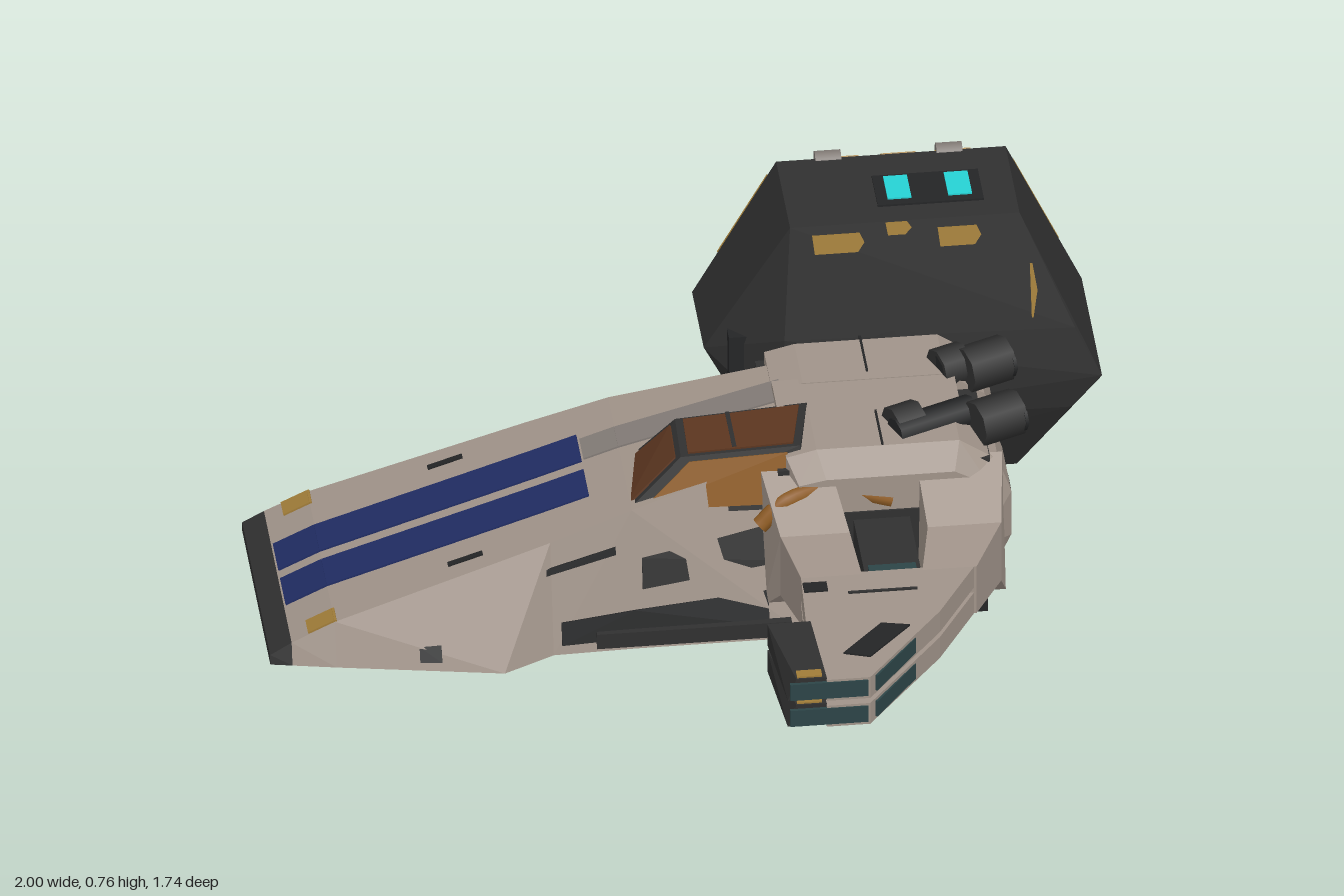
import * as THREE from 'three';
import { ConvexGeometry } from 'three/addons/geometries/ConvexGeometry.js';

const paint = (name, color) => {
  const m = new THREE.MeshStandardMaterial({ color });
  m.name = name;
  return m;
};
const V = (p) => new THREE.Vector3(...p);
const mix = (a, b, s) => a + (b - a) * s;

export function createModel() {
  const root = new THREE.Group();
  root.name = 'spacecraft';
  const hull = paint('hullBeige', 0xa09389);
  const coal = paint('charcoal', 0x303030);
  const black = paint('darkPanel', 0x242526);
  const blue = paint('stripeBlue', 0x202c62);
  const yellow = paint('hazardYellow', 0xa07c38);
  const cyan = paint('glowCyan', 0x26d2d4);
  const glass = paint('amberGlass', 0x5c3620);
  const orange = paint('copper', 0x8c5a22);
  const teal = paint('tealPanel', 0x2c4447);
  const grey = paint('midGrey', 0x827b76);

  const add = (name, geo, mat, pos = [0, 0, 0], rot = [0, 0, 0]) => {
    const m = new THREE.Mesh(geo, mat);
    m.name = name;
    m.position.set(...pos);
    m.rotation.set(...rot);
    root.add(m);
  };
  const solid = (name, mat, pts) => add(name, new ConvexGeometry(pts.map(V)), mat);
  const box = (name, mat, x0, x1, y0, y1, z0, z1) =>
    add(name, new THREE.BoxGeometry(x1 - x0, y1 - y0, z1 - z0), mat, [(x0 + x1) / 2, (y0 + y1) / 2, (z0 + z1) / 2]);
  // thin plate lying on a polygon, half its thickness showing
  const plate = (name, mat, pts, inset = 1) => {
    const p = pts.map(V);
    const c = p.reduce((s, q) => s.add(q), new THREE.Vector3()).divideScalar(p.length);
    p.forEach((q) => q.sub(c).multiplyScalar(inset).add(c));
    const n = p[1].clone().sub(p[0]).cross(p[2].clone().sub(p[0])).normalize().multiplyScalar(0.0045);
    add(name, new ConvexGeometry(p.flatMap((q) => [q.clone().add(n), q.clone().sub(n)])), mat);
  };

  // ---- Wedge hull: x, top height, half width at the bottom, half width at the top
  const CZ = -0.045, YB = 0.155;
  const S = [
    [-1, 0.178, 0.275, 0.27], [-0.95, 0.207, 0.285, 0.268], [-0.85, 0.255, 0.305, 0.265], [-0.47, 0.38, 0.375, 0.25],
    [-0.35, 0.42, 0.315, 0.245], [-0.16, 0.485, 0.31, 0.23], [0.24, 0.592, 0.31, 0.17],
  ];
  const ring = ([x, yt, b, t]) => [[x, YB, CZ - b], [x, YB, CZ + b], [x, yt, CZ - t], [x, yt, CZ + t]];
  for (let i = 0; i < S.length - 1; i++)
    solid(i ? 'hullSection' : 'noseTip', i ? hull : coal, [...ring(S[i]), ...ring(S[i + 1])]);
  const at = (x) => {
    let i = 0;
    while (i < S.length - 2 && x > S[i + 1][0]) i++;
    const k = (x - S[i][0]) / (S[i + 1][0] - S[i][0]);
    return S[i].map((v, j) => mix(v, S[i + 1][j], k));
  };
  const top = (x, z) => [x, at(x)[1], z];
  const side = (x, t, s) => {
    const [, yt, b, h] = at(x);
    return [x, mix(YB, yt, t), CZ + s * mix(b, h, t)];
  };
  const breaks = (a, b) => [a, ...S.map((s) => s[0]).filter((x) => x > a && x < b), b];
  const strip = (name, mat, x0, x1, f) => {
    const xs = breaks(x0, x1);
    for (let i = 0; i < xs.length - 1; i++) plate(name, mat, [f(xs[i], 0), f(xs[i + 1], 0), f(xs[i + 1], 1), f(xs[i], 1)]);
  };
  for (const z of [-0.17, -0.03]) {
    strip('topStripe', blue, -0.945, -0.245, (x, k) => top(x, z + k * 0.105));
    strip('bellyStripe', blue, -0.94, 0.42, (x, k) => [x, YB, z + k * 0.105]);
  }
  strip('roofPanel', grey, -0.24, 0.22, (x, k) => top(x, -0.15 + k * 0.08));
  for (const s of [1, -1]) {
    const big = s > 0 ? 1 : 0.45;
    strip('noseMark', yellow, -0.91, -0.845, (x, k) => top(x, CZ + s * (0.215 + k * 0.05)));
    strip('lowerSidePanel', black, -0.33, 0.15, (x, k) => side(x, 0.08 + k * 0.2 * big, s));
    strip('upperSidePanel', coal, -0.14, 0.2, (x, k) => side(x, 0.42 + k * 0.22 * big, s));
    strip('sidePatch', black, -0.66, -0.61, (x, k) => side(x, 0.1 + k * 0.2, s));
    strip('sideSeam', black, -0.4, -0.2, (x, k) => side(x, 0.72 + k * 0.06, s));
    strip('roofSlot', black, -0.58, -0.5, (x, k) => top(x, CZ + s * (0.19 + k * 0.014)));
    box('sideSkid', coal, -0.25, 0.2, 0.165, 0.205, s > 0 ? 0.22 : -0.325, s > 0 ? 0.272 : -0.275);
    box('bellyHatch', coal, -0.3, -0.14, 0.15, 0.16, CZ + s * 0.2 - 0.04, CZ + s * 0.2 + 0.04);
  }
  strip('sideMark', yellow, -0.15, -0.1, (x, k) => side(x, 0.2 + k * 0.1, -1));
  box('bellySpine', black, -0.45, 0.2, 0.149, 0.16, -0.06, -0.035);

  // ---- Offset canopy with framed panes
  const cb = [[-0.18, 0.46, 0.17], [-0.15, 0.46, -0.05], [0.28, 0.46, -0.055], [0.25, 0.46, 0.185]];
  const ct = [[-0.04, 0.586, 0.13], [-0.035, 0.586, -0.025], [0.27, 0.603, -0.03], [0.235, 0.603, 0.14]];
  solid('canopyFrame', coal, [...cb, ...ct]);
  plate('canopyTopGlass', glass, ct, 0.88);
  plate('canopyFrontGlass', glass, [cb[0], cb[1], ct[1], ct[0]], 0.84);
  plate('canopySideGlass', orange, [cb[0], ct[0], ct[3], cb[3]], 0.82);
  plate('canopyBar', coal, [[0.08, 0.595, -0.02], [0.09, 0.596, -0.02], [0.09, 0.596, 0.12], [0.08, 0.595, 0.12]]);

  // ---- Rear body: two armoured halves around a dark spine
  box('rearCore', coal, 0.18, 0.67, 0.18, 0.555, -0.28, 0.17);
  box('bellyPlate', hull, 0.2, 0.56, YB, 0.235, -0.3, 0.19);
  box('rearBase', black, 0.56, 0.66, YB, 0.22, -0.32, 0.21);
  box('sternPlinth', hull, 0.13, 0.5, 0.157, 0.185, 0.05, 0.235);
  const prof = [[0.2, 0.585], [0.27, 0.602], [0.6, 0.602], [0.69, 0.54], [0.72, 0.45], [0.72, 0.33], [0.67, 0.22], [0.2, 0.23]];
  for (const [z0, z1, o] of [[-0.02, 0.2, 1], [-0.11, -0.31, -1]]) {
    solid('rearArmour', hull, [
      ...prof.map(([x, y]) => [x, y, z0]), ...prof.map(([x, y]) => [x, y, z1 - o * 0.04]),
      ...prof.map(([x, y]) => [0.45 + (x - 0.45) * 0.9, 0.39 + (y - 0.39) * 0.72, z1]),
    ]);
    const zc = (z0 + z1) / 2;
    box('sternSlot', black, 0.715, 0.724, 0.34, 0.43, zc - 0.03, zc + 0.03);
    plate('sternNotch', coal, [[0.695, 0.276, zc - 0.06], [0.695, 0.276, zc + 0.06], [0.676, 0.234, zc + 0.06], [0.676, 0.234, zc - 0.06]]);
    plate('flankPanel', coal, [[0.3, 0.3, z1], [0.58, 0.3, z1], [0.62, 0.36, z1], [0.56, 0.45, z1], [0.3, 0.45, z1]]);
    box('roofSeam', black, 0.42, 0.425, 0.597, 0.606, zc - 0.07, zc + 0.07);
    // paired thrusters
    const tz = o > 0 ? 0.07 : -0.15, x0 = o > 0 ? 0.45 : 0.58;
    const barrel = (name, r, a, b, mat) =>
      add(name, new THREE.CylinderGeometry(r, r, b - a, 8), mat, [(a + b) / 2, 0.595, tz], [0, Math.PI / 8, Math.PI / 2]);
    barrel('thruster', 0.055, 0.64, 0.75, coal);
    barrel('thrusterNeck', 0.038, x0, 0.65, black);
    barrel('thrusterCollar', 0.05, x0, x0 + 0.07, coal);
    barrel('thrusterNozzle', 0.035, 0.748, 0.756, black);
  }
  box('roofBridge', hull, 0.2, 0.62, 0.5, 0.6, -0.13, 0);
  for (let i = 0; i < 7; i++) box('spineRib', black, 0.66, 0.7, 0.23 + i * 0.044, 0.255 + i * 0.044, -0.1, -0.03);

  // ---- Side arm on the left: two struts and a double blade
  const strut = (a0, a1, b0, b1, c0, c1) => {
    const elbow = [b0, b1].flatMap((x) => [[x, 0.3, 0.3], [x, 0.462, 0.3]]);
    solid('armShoulder', hull, [...elbow, ...[a0, a1].flatMap((x) => [[x, 0.22, 0.15], [x, 0.555, 0.15], [x, 0.22, 0.22]])]);
    solid('armStrut', hull, [...elbow, ...[c0, c1].flatMap((x) => [[x, 0.318, 0.45], [x, 0.448, 0.45]])]);
  };
  strut(0.14, 0.3, 0.17, 0.33, 0.2, 0.34);
  strut(0.5, 0.7, 0.51, 0.68, 0.48, 0.605);
  box('armActuator', coal, 0.35, 0.48, 0.34, 0.43, 0.18, 0.45);
  box('armActuatorBand', teal, 0.36, 0.47, 0.335, 0.437, 0.4, 0.43);
  const outline = [[0.2, 0.44], [0.605, 0.44], [0.5, 0.62], [0.31, 0.865], [0.21, 0.865], [0.19, 0.62]];
  const blade = new THREE.Shape(outline.map(([x, z]) => new THREE.Vector2(x, z)));
  for (const y of [0.318, 0.39]) {
    add('armBlade', new THREE.ExtrudeGeometry(blade, { depth: 0.058, bevelEnabled: false }), hull, [0, y + 0.058, 0], [Math.PI / 2, 0, 0]);
    solid('bladePod', coal, [[0.1, y + 0.004, 0.63], [0.2, y + 0.004, 0.63], [0.12, y + 0.004, 0.86], [0.21, y + 0.004, 0.86],
      [0.1, y + 0.062, 0.63], [0.2, y + 0.062, 0.63], [0.14, y + 0.062, 0.86], [0.21, y + 0.062, 0.86]]);
    box('bladeTip', teal, 0.125, 0.305, y + 0.008, y + 0.052, 0.859, 0.868);
    plate('bladeEdge', teal, [[0.325, y + 0.008, 0.847], [0.43, y + 0.008, 0.706], [0.43, y + 0.05, 0.706], [0.325, y + 0.05, 0.847]]);
    box('bladeMark', yellow, 0.142, 0.2, y + 0.058, y + 0.066, 0.83, 0.856);
  }
  box('bladeCore', black, 0.23, 0.45, 0.37, 0.395, 0.46, 0.64);
  box('bladeCoreTip', black, 0.17, 0.29, 0.36, 0.4, 0.62, 0.84);
  for (const y of [0.448, 0.318]) {
    plate('bladePanel', black, [[0.26, y, 0.765], [0.36, y, 0.655], [0.425, y, 0.67], [0.32, y, 0.785]]);
    plate('bladeSlot', black, [[0.2, y, 0.475], [0.255, y, 0.475], [0.255, y, 0.51], [0.2, y, 0.51]]);
    plate('bladeSeam', coal, [[0.3, y, 0.52], [0.46, y, 0.52], [0.46, y, 0.526], [0.3, y, 0.526]]);
  }
  const hose = new THREE.CatmullRomCurve3([[0.13, 0.45, 0.23], [0.19, 0.5, 0.215], [0.3, 0.505, 0.18], [0.44, 0.47, 0.185]].map(V));
  add('copperHose', new THREE.TubeGeometry(hose, 16, 0.021, 8), orange);

  // ---- Coupling between the body and the engine pod
  const X90 = [Math.PI / 2, 0, 0];
  add('couplingRing', new THREE.CylinderGeometry(0.145, 0.145, 0.025, 24), orange, [0.53, 0.375, -0.315], X90);
  add('couplingDrum', new THREE.CylinderGeometry(0.115, 0.115, 0.2, 24), coal, [0.53, 0.375, -0.4], X90);
  add('couplingCollar', new THREE.CylinderGeometry(0.13, 0.13, 0.04, 24), black, [0.53, 0.375, -0.355], X90);
  add('couplingPipe', new THREE.CylinderGeometry(0.09, 0.09, 0.22, 20), coal, [0.32, 0.375, -0.39], X90);
  add('couplingPipeRing', new THREE.CylinderGeometry(0.1, 0.1, 0.03, 20), black, [0.32, 0.375, -0.36], X90);
  box('podLug', black, 0.15, 0.25, 0.3, 0.45, -0.62, -0.53);

  // ---- Hexagonal engine pod: outer rim and smaller rear face joined by a chamfer
  const hex = [[0.29, 0.752], [0.82, 0.752], [1, 0.345], [0.82, 0.018], [0.29, 0.018], [0.1, 0.38]];
  const small = [[0.32, 0.66], [0.79, 0.66], [0.955, 0.345], [0.795, 0.062], [0.315, 0.062], [0.145, 0.38]];
  const frontZ = [-0.52, -0.52, -0.43, -0.57, -0.57, -0.6];
  const rimZ = [-0.79, -0.79, -0.825, -0.84, -0.84, -0.825];
  const BZ = -0.862;
  solid('enginePod', coal, [
    ...hex.map(([x, y], i) => [x, y, frontZ[i]]), ...hex.map(([x, y], i) => [x, y, rimZ[i]]), ...small.map(([x, y]) => [x, y, BZ]),
    [0.94, 0.47, -0.45], [0.93, 0.25, -0.45], [0.27, 0.48, -0.46], [0.27, 0.25, -0.46],
  ]);
  // point on rim edge i: t runs along the edge, k across the chamfer
  const rim = (i, t, k) => {
    const j = (i + 1) % 6;
    const [x, y] = [0, 1].map((c) => mix(mix(hex[i][c], hex[j][c], t), mix(small[i][c], small[j][c], t), k));
    return [x, y, mix(mix(rimZ[i], rimZ[j], t), BZ, k)];
  };
  const marks = [[0, 0.11, 0.26], [0, 0.36, 0.51], [0, 0.6, 0.75], [1, 0.1, 0.7], [5, 0.3, 0.9],
    [3, 0.15, 0.3], [3, 0.42, 0.57], [3, 0.7, 0.85]];
  for (const [i, a, b] of marks) {
    const d = i % 3 ? 0 : 0.1;
    plate('rimMark', yellow, [rim(i, a + d, 0.05), rim(i, b + d, 0.05), rim(i, b, 0.95), rim(i, a, 0.95)]);
  }
  // worn marks on the sloping front
  const slope = (x, y) => [x, y, y > 0.4 ? -0.455 - (y - 0.475) * 0.235 : -0.45 - (0.25 - y) * 0.5];
  for (const [a, b, y0, y1] of [[0.34, 0.46, 0.685, 0.73], [0.51, 0.57, 0.72, 0.75], [0.63, 0.73, 0.685, 0.73], [0.84, 0.856, 0.5, 0.63],
    [0.35, 0.42, 0.022, 0.055], [0.53, 0.59, 0.022, 0.06], [0.68, 0.715, 0.06, 0.1]])
    plate('frontMark', yellow, [slope(a + 0.005, y0), slope(b - 0.015, y0), slope(b, (y0 + y1) / 2), slope(b - 0.01, y1), slope(a, y1)]);
  // top windows, side window, clips
  box('topWindowFrame', black, 0.5, 0.745, 0.748, 0.757, -0.7, -0.58);
  for (const x of [0.525, 0.665]) box('topWindow', cyan, x, x + 0.055, 0.752, 0.761, -0.69, -0.6);
  const flank = (y, z, out) => [0.82 + (y - 0.018) * 0.55 + out, y - out * 0.6, z];
  const flankPlate = (name, mat, y0, y1, z0, z1, out) =>
    plate(name, mat, [flank(y0, z0, out), flank(y0, z1, out), flank(y1, z1, out), flank(y1, z0, out)]);
  flankPlate('sideWindowFrame', black, 0.115, 0.185, -0.63, -0.76, 0);
  flankPlate('sideWindow', cyan, 0.137, 0.17, -0.645, -0.745, 0.004);
  for (const x of [0.41, 0.69]) for (const y of [0.742, 0.022])
    add('rimClip', new THREE.CylinderGeometry(0.022, 0.022, 0.06, 10), grey, [x, y, y > 0.4 ? -0.8 : -0.845], [0, 0, Math.PI / 2]);
  for (const i of [1, 2, 4, 5]) {
    const edge = new THREE.LineCurve3(V(rim(i, 0.05, 1)), V(rim(i, 0.95, 1)));
    add('rimTrim', new THREE.TubeGeometry(edge, 1, 0.005, 5), grey);
  }
  // rear vent
  const hexCyl = (name, r, d, mat, z) =>
    add(name, new THREE.CylinderGeometry(r, r, d, 6), mat, [0.55, 0.365, z], [Math.PI / 2, Math.PI / 6, 0]);
  hexCyl('ventFrame', 0.2, 0.012, black, -0.863);
  hexCyl('ventInner', 0.15, 0.012, coal, -0.865);
  for (const [y, w] of [[0.44, 0.065], [0.365, 0.1], [0.29, 0.065]])
    box('ventGlow', cyan, 0.55 - w, 0.55 + w, y - 0.014, y + 0.014, -0.874, -0.866);

  return root;
}
